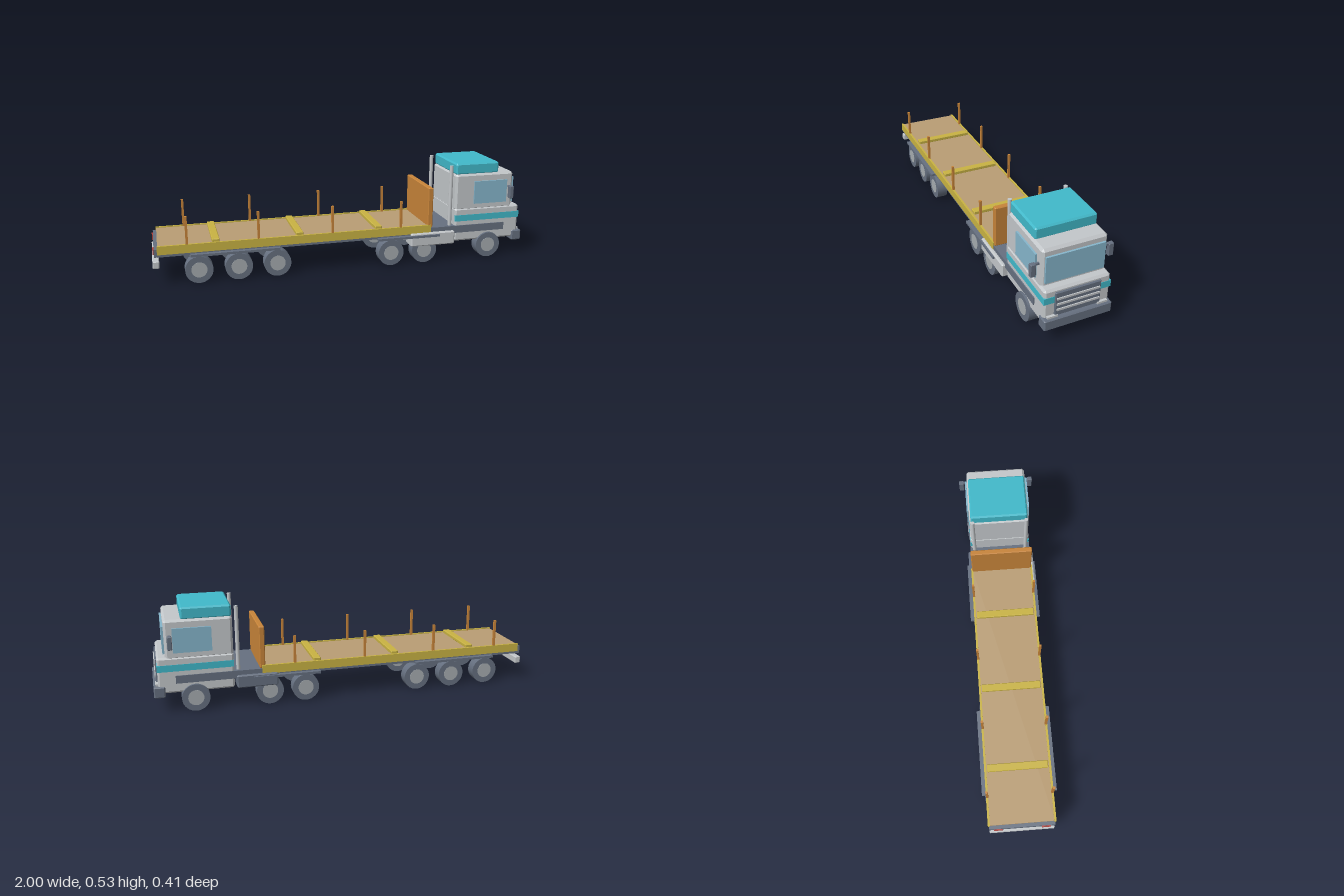
import * as THREE from 'three';
import { ConvexGeometry } from 'three/addons/geometries/ConvexGeometry.js';

const mat = (name, color) => {
  const m = new THREE.MeshStandardMaterial({ color });
  m.name = name;
  return m;
};

export function createModel() {
  const truck = new THREE.Group();
  truck.name = 'flatbedTruck';

  const grey = mat('lightGrey', 0xc3c7ca);
  const slate = mat('slate', 0x667080);
  const cyan = mat('cyan', 0x41b9ca);
  const glass = mat('glass', 0x86b6cc);
  const yellow = mat('yellow', 0xc9b343);
  const wood = mat('wood', 0xb99d74);
  const orange = mat('orange', 0xc78439);
  const steel = mat('steel', 0xa6acb0);
  const red = mat('red', 0xb0403a);

  const add = (name, geometry, material) => {
    const mesh = new THREE.Mesh(geometry, material);
    mesh.name = name;
    truck.add(mesh);
    return mesh;
  };

  // Box from its limits; a bevel above zero chamfers every edge
  const box = (name, material, [x0, x1], [y0, y1], [z0, z1], bevel = 0) => {
    const w = x1 - x0, h = y1 - y0, d = z1 - z0;
    let g;
    if (bevel) {
      const pts = [];
      for (const sx of [-1, 1]) for (const sy of [-1, 1]) for (const sz of [-1, 1]) {
        for (let axis = 0; axis < 3; axis++) {
          const inset = [0, 1, 2].map((i) => (i === axis ? 0 : bevel));
          pts.push(new THREE.Vector3(
            sx * (w / 2 - inset[0]), sy * (h / 2 - inset[1]), sz * (d / 2 - inset[2])));
        }
      }
      g = new ConvexGeometry(pts);
    } else g = new THREE.BoxGeometry(w, h, d);
    add(name, g, material).position.set((x0 + x1) / 2, (y0 + y1) / 2, (z0 + z1) / 2);
  };

  // Same box on both sides, z given as distance from the middle
  const pair = (name, material, xs, ys, [z0, z1], bevel = 0) => {
    box(name + 'Left', material, xs, ys, [z0, z1], bevel);
    box(name + 'Right', material, xs, ys, [-z1, -z0], bevel);
  };

  // Chassis
  box('bedFrame', slate, [-0.975, 0.5], [0.15, 0.165], [-0.17, 0.17]);
  box('frontChassis', slate, [0.46, 0.89], [0.15, 0.19], [-0.171, 0.171]);
  box('rearBeam', slate, [-0.99, -0.965], [0.15, 0.19], [-0.168, 0.168]);
  box('rearBumper', grey, [-1, -0.967], [0.09, 0.128], [-0.168, 0.168], 0.004);
  pair('tailLight', red, [-0.996, -0.988], [0.157, 0.183], [0.1, 0.145]);
  box('fuelTank', grey, [0.345, 0.595], [0.095, 0.167], [0.1, 0.187], 0.006);
  box('batteryBox', slate, [0.38, 0.59], [0.1, 0.167], [-0.185, -0.1], 0.006);
  pair('rearMudguard', slate, [-0.815, -0.365], [0.145, 0.157], [0.12, 0.195]);
  pair('midMudguard', slate, [0.16, 0.505], [0.145, 0.157], [0.12, 0.195]);

  // Load bed
  box('deck', wood, [-0.972, 0.455], [0.164, 0.202], [-0.166, 0.166]);
  pair('sideRail', yellow, [-0.975, 0.46], [0.163, 0.207], [0.163, 0.174]);
  for (const x of [-0.685, -0.255, 0.17])
    box('crossBar', yellow, [x - 0.019, x + 0.019], [0.2, 0.22], [-0.158, 0.158], 0.003);
  for (const x of [-0.828, -0.47, -0.084, 0.29])
    pair('stake', orange, [x - 0.006, x + 0.006], [0.2, 0.35], [0.161, 0.173]);
  box('headboard', orange, [0.443, 0.471], [0.19, 0.41], [-0.168, 0.168], 0.004);

  // Cab shell
  box('lowerCab', grey, [0.6, 0.977], [0.1, 0.285], [-0.166, 0.166], 0.01);
  box('upperCab', grey, [0.6, 0.935], [0.27, 0.473], [-0.162, 0.162], 0.012);
  box('roofFairing', cyan, [0.603, 0.85], [0.468, 0.53], [-0.155, 0.155], 0.008);
  box('cabStripe', cyan, [0.602, 0.979], [0.213, 0.247], [-0.168, 0.168]);

  // Windows
  box('windscreen', glass, [0.932, 0.945], [0.3, 0.438], [-0.147, 0.147]);
  pair('sideWindow', glass, [0.705, 0.895], [0.308, 0.432], [0.165, 0.174]);
  pair('sideWindowMount', grey, [0.71, 0.89], [0.313, 0.427], [0.15, 0.166]);

  // Grille, lights and bumper
  box('grille', slate, [0.965, 0.985], [0.14, 0.268], [-0.115, 0.115], 0.004);
  for (const y of [0.175, 0.205, 0.235])
    box('grilleSlat', grey, [0.98, 0.99], [y - 0.005, y + 0.005], [-0.107, 0.107]);
  pair('headlight', grey, [0.96, 0.99], [0.11, 0.148], [0.1, 0.152]);
  box('frontBumper', slate, [0.943, 1], [0.08, 0.138], [-0.172, 0.172], 0.006);

  // Mirrors
  pair('mirrorArm', slate, [0.904, 0.914], [0.388, 0.398], [0.155, 0.185]);
  pair('mirror', slate, [0.898, 0.921], [0.333, 0.4], [0.18, 0.207], 0.003);

  // Exhaust stacks
  for (const s of [-1, 1])
    add('exhaustStack', new THREE.CylinderGeometry(0.01, 0.01, 0.335, 16), grey)
      .position.set(0.578, 0.3525, s * 0.145);

  // Wheels
  const tyre = new THREE.CylinderGeometry(0.07, 0.07, 0.056, 32).rotateX(Math.PI / 2);
  const hub = new THREE.CylinderGeometry(0.04, 0.04, 0.059, 24).rotateX(Math.PI / 2);
  for (const x of [-0.775, -0.575, -0.377, 0.236, 0.423, 0.797])
    for (const s of [-1, 1]) {
      add('tyre', tyre, slate).position.set(x, 0.07, s * 0.15);
      add('hub', hub, steel).position.set(x, 0.07, s * 0.15);
    }

  return truck;
}
